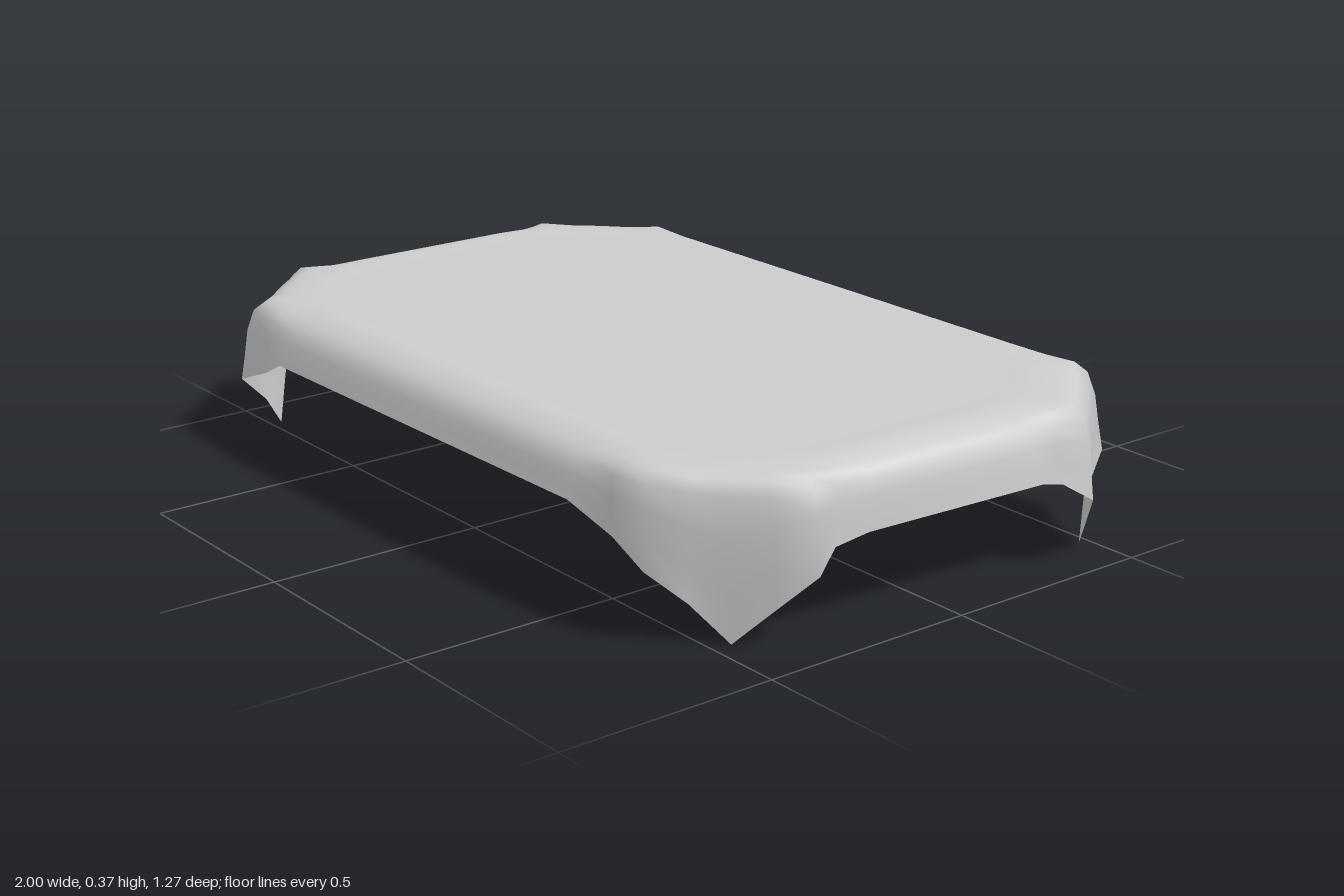
import * as THREE from 'three';

// One quadrant of the drape, from the side middle (+x) round to the front middle (+z).
// Each station: top rim [x, z], shoulder [x, y, z], hem [x, y, z]
const quadrant = [
  [[0.89, 0.00], [0.95, 0.33, 0.00], [0.97, 0.22, 0.00]],
  [[0.89, 0.20], [0.95, 0.33, 0.21], [0.97, 0.22, 0.23]],
  [[0.88, 0.27], [0.94, 0.335, 0.29], [0.955, 0.20, 0.30]],
  [[0.86, 0.33], [0.95, 0.345, 0.36], [0.982, 0.16, 0.36]], // side fold
  [[0.83, 0.38], [0.90, 0.335, 0.42], [0.92, 0.085, 0.41]],
  [[0.78, 0.43], [0.845, 0.335, 0.48], [0.85, 0.00, 0.465]], // hanging corner
  [[0.73, 0.47], [0.795, 0.335, 0.53], [0.80, 0.085, 0.53]],
  [[0.67, 0.50], [0.74, 0.345, 0.585], [0.765, 0.16, 0.61]], // front fold
  [[0.60, 0.525], [0.64, 0.335, 0.595], [0.66, 0.20, 0.605]],
  [[0.52, 0.54], [0.54, 0.33, 0.60], [0.55, 0.25, 0.63]],
  [[0.00, 0.54], [0.00, 0.33, 0.60], [0.00, 0.25, 0.63]],
];
const TOP = 0.362;
const STEPS = 10;

// Smooth profile of the cloth from the flat top over the edge to the hem
function profile([rim, shoulder, hem], sx, sz) {
  const p = (x, y, z, shear = 0) =>
    new THREE.Vector3(sx * x - shear * 0.05 * sz * z, y, sz * z - shear * 0.01 * sx * x);
  return new THREE.CatmullRomCurve3([
    p(rim[0] * 0.9, TOP, rim[1] * 0.9),
    p(rim[0], TOP, rim[1]),
    p(...shoulder, 0.5),
    p(...hem, 1),
  ]).getPoints(STEPS);
}

function drapeGeometry() {
  // Mirror the quadrant into a closed loop of profiles
  const columns = [];
  for (const [sx, sz] of [[1, 1], [-1, 1], [-1, -1], [1, -1]]) {
    const order = sx * sz > 0 ? quadrant : [...quadrant].reverse();
    order.slice(0, -1).forEach((s) => columns.push(profile(s, sx, sz)));
  }

  const positions = [0, TOP, 0];
  const indices = [];
  const row = STEPS + 1;
  const n = columns.length;
  columns.forEach((column) => column.forEach((v) => positions.push(v.x, v.y, v.z)));
  for (let i = 0; i < n; i++) {
    const a = 1 + i * row;
    const b = 1 + ((i + 1) % n) * row;
    indices.push(0, b, a); // flat top
    for (let j = 0; j < STEPS; j++) {
      indices.push(a + j, b + j, a + j + 1, b + j, b + j + 1, a + j + 1);
    }
  }

  const geometry = new THREE.BufferGeometry();
  geometry.setAttribute('position', new THREE.Float32BufferAttribute(positions, 3));
  geometry.setIndex(indices);
  geometry.computeVertexNormals();
  return geometry;
}

export function createModel() {
  const group = new THREE.Group();
  group.name = 'tablecloth';
  // Thin open sheet, seen from both sides
  const material = new THREE.MeshStandardMaterial({ color: 0xcccccc, side: THREE.DoubleSide });
  const cloth = new THREE.Mesh(drapeGeometry(), material);
  cloth.name = 'drapedCloth';
  group.add(cloth);
  return group;
}
